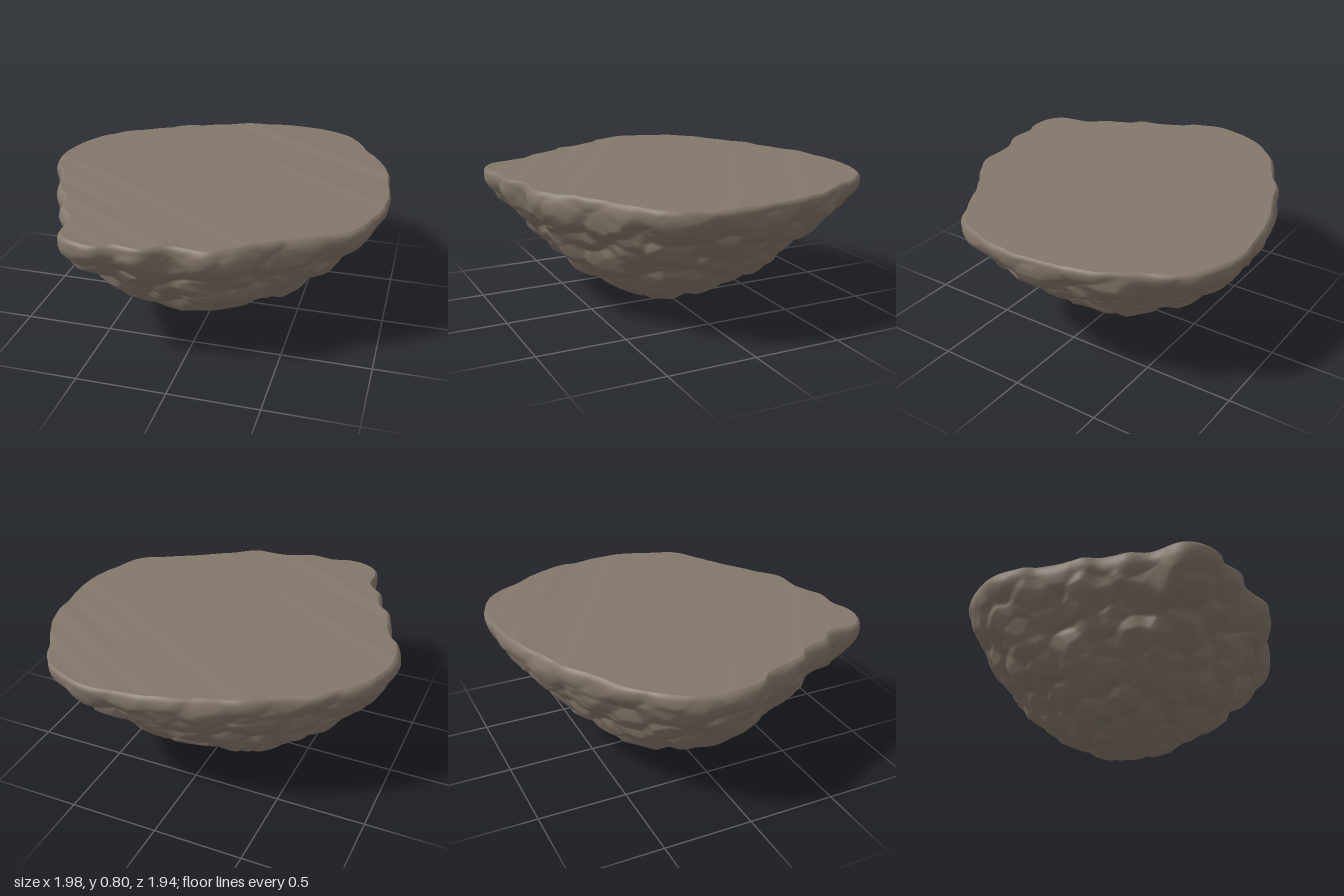
import * as THREE from 'three';

// Plan outline of the rim as x, z pairs, running from +x towards -z
const OUTLINE = [
  1, -0.05, 0.96, -0.3, 0.88, -0.55, 0.79, -0.67, 0.71, -0.83, 0.55, -0.93, 0.3, -0.98, 0.1, -0.95,
  -0.15, -0.88, -0.4, -0.78, -0.6, -0.65, -0.8, -0.53, -0.93, -0.37, -1, -0.17, -0.96, 0.07, -0.9, 0.14,
  -0.82, 0.38, -0.75, 0.45, -0.7, 0.6, -0.62, 0.7, -0.6, 0.87, -0.52, 0.95, -0.39, 0.98, -0.3, 0.95,
  -0.15, 0.96, 0, 0.88, 0.2, 0.88, 0.42, 0.72, 0.7, 0.56, 0.87, 0.44, 0.95, 0.25, 0.98, 0.1,
];
// Side profile: fraction of the rim radius, height
const PROFILE = [
  [0.975, 0.8], [0.99, 0.785], [0.99, 0.73], [0.925, 0.63], [0.81, 0.5], [0.72, 0.4],
  [0.6, 0.29], [0.45, 0.19], [0.3, 0.105], [0.17, 0.045], [0, 0.03],
];
const AROUND = 280, DOWN = 120, CAP_RINGS = 40;
const DOME = 1.6; // roundness of the boulders

function seededRandom(seed) {
  return () => {
    seed = (seed * 1664525 + 1013904223) % 4294967296;
    return seed / 4294967296;
  };
}

const outlineCurve = new THREE.CatmullRomCurve3(
  Array.from({ length: OUTLINE.length / 2 }, (_, i) => new THREE.Vector3(OUTLINE[2 * i], 0, OUTLINE[2 * i + 1])), true);
const profileCurve = new THREE.CatmullRomCurve3(PROFILE.map(([r, y]) => new THREE.Vector3(r, y, 0)));

// Nearly flat top with a slight tilt and diagonal ripples
function topHeight(x, z) {
  const s = z - 0.65 * x;
  const ripple = Math.sin(9 * s) * Math.sin(23 * s + 1.5 * x) * Math.min(1, Math.abs(s) + 0.2);
  return 0.806 - 0.009 * x - 0.009 * z + 0.004 * ripple;
}

// Smooth bowl under the rock detail; it gets rounder towards the bottom
function bowlPoint(u, v) {
  const rim = outlineCurve.getPointAt(u % 1);
  const { x: r, y } = profileCurve.getPointAt(v);
  const depth = 1 - y / 0.8;
  const round = 0.7 * Math.min(1, depth * 1.2);
  const scale = r * THREE.MathUtils.lerp(1, 0.97 / rim.length(), round);
  const x = rim.x * scale - 0.07 * depth, z = rim.z * scale + 0.015 * depth;
  return new THREE.Vector3(x, y * topHeight(x, z) / 0.8, z);
}

// Points spread evenly over the bowl with some jitter, each with a random height and tilt
function scatter(count, height, tilt, seed) {
  const rand = seededRandom(seed);
  return Array.from({ length: count }, (_, i) => ({
    at: bowlPoint(i * 0.618034 + 0.05 * rand(), 1 - Math.sqrt((i + rand()) / count)),
    h: height * rand(),
    slope: new THREE.Vector3(rand() - 0.5, rand() - 0.5, rand() - 0.5).multiplyScalar(tilt),
  }));
}

// Highest of the tilted domes at p
function highest(stones, p) {
  let best = -Infinity;
  for (const { at, h, slope } of stones) {
    const dx = p.x - at.x, dy = (p.y - at.y) * 1.4, dz = p.z - at.z;
    const bump = h + slope.x * dx + slope.y * dy + slope.z * dz - DOME * (dx * dx + dy * dy + dz * dz);
    if (bump > best) best = bump;
  }
  return best;
}

// Closed grid of rows; each row is a loop around the rock
function loopGrid(rows, pointAt) {
  const pos = [], index = [];
  for (let j = 0; j <= rows; j++) {
    for (let i = 0; i < AROUND; i++) pos.push(...pointAt(i, j).toArray());
  }
  for (let j = 0; j < rows; j++) {
    for (let i = 0; i < AROUND; i++) {
      const n = (i + 1) % AROUND;
      const a = j * AROUND + i, b = j * AROUND + n, c = a + AROUND, d = b + AROUND;
      index.push(a, c, b, b, c, d);
    }
  }
  const geometry = new THREE.BufferGeometry();
  geometry.setAttribute('position', new THREE.Float32BufferAttribute(pos, 3));
  geometry.setIndex(index);
  geometry.computeVertexNormals();
  return geometry;
}

export function createModel() {
  const group = new THREE.Group();
  group.name = 'floatingRock';
  const material = new THREE.MeshStandardMaterial({ color: 0x83776a });

  // Subtracting the facets cancels the roundness of the boulders, leaving chiselled planes
  const boulders = scatter(190, 0.03, 0.25, 7);
  const facets = scatter(520, 0.005, 0.1, 21);
  const relief = (p) => highest(boulders, p) - highest(facets, p);
  const samples = scatter(400, 0, 0, 5);
  const level = samples.reduce((sum, s) => sum + relief(s.at), 0) / samples.length;
  const heart = new THREE.Vector3(0, 0.8, 0);

  // Rocky underside, pushed in and out by the relief
  const rockPoint = (i, j) => {
    const v = j / DOWN;
    const p = bowlPoint(i / AROUND, v);
    const fade = 0.25 + 0.75 * Math.min(1, v / 0.15);
    const out = p.clone().sub(heart);
    out.y *= Math.min(1, v / 0.06);
    const push = THREE.MathUtils.clamp(relief(p) - level, -0.04, 0.03);
    return p.addScaledVector(out.normalize(), push * fade);
  };
  const underside = new THREE.Mesh(loopGrid(DOWN, rockPoint), material);
  underside.name = 'rockyUnderside';
  group.add(underside);

  // Flat top, meeting the rim of the underside
  const rim = Array.from({ length: AROUND }, (_, i) => rockPoint(i, 0));
  const top = new THREE.Mesh(loopGrid(CAP_RINGS, (i, j) => {
    const t = j / CAP_RINGS;
    const x = rim[i].x * t, z = rim[i].z * t;
    return new THREE.Vector3(x, j === CAP_RINGS ? rim[i].y : topHeight(x, z), z);
  }), material);
  top.name = 'flatTop';
  group.add(top);

  return group;
}
